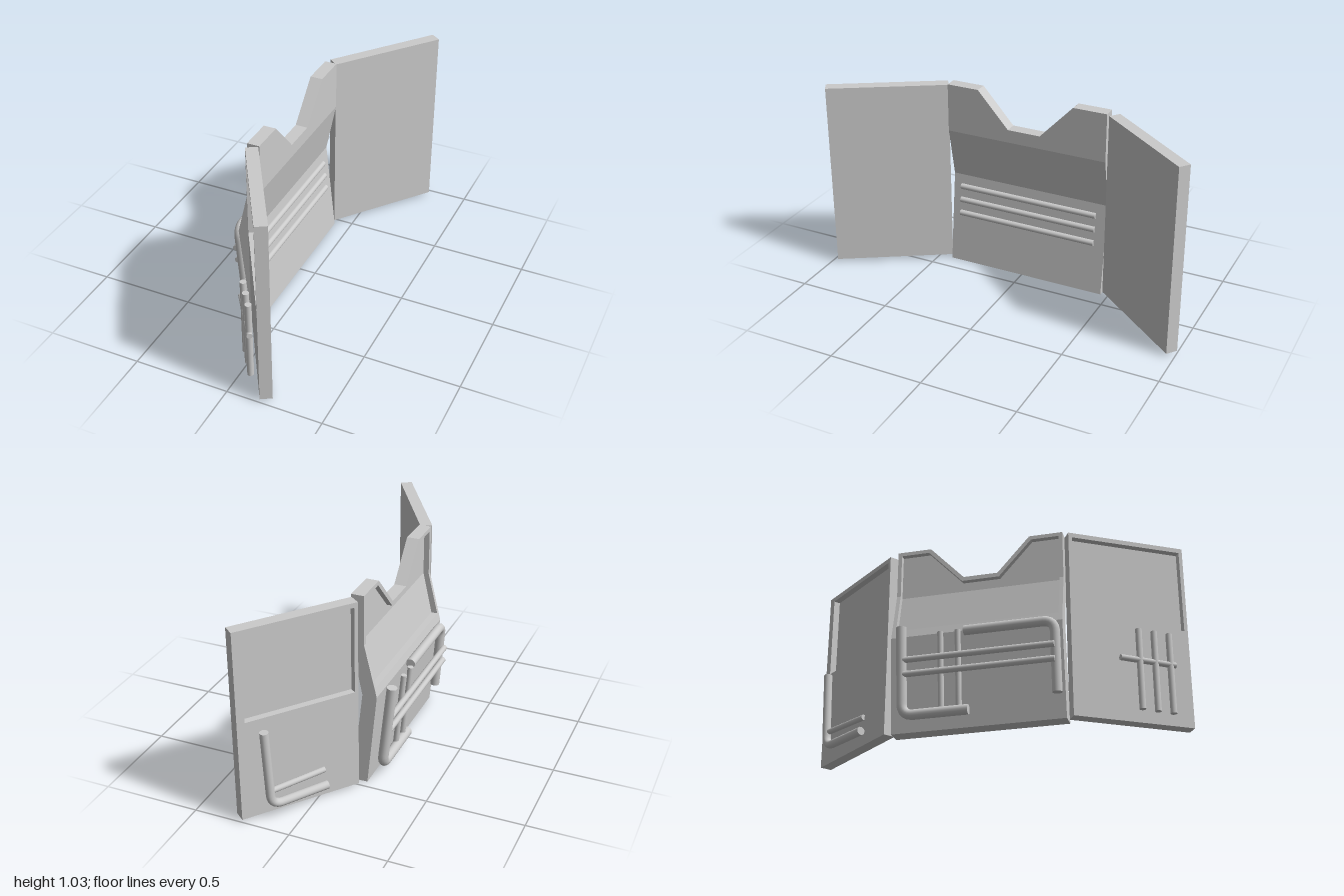
import * as THREE from 'three';

const material = new THREE.MeshStandardMaterial({ color: 0xcccccc });
const V = (x, y, z) => new THREE.Vector3(x, y, z);

function polygon(points) {
  return new THREE.Shape(points.map(([a, b]) => new THREE.Vector2(a, b)));
}

function rect(a0, b0, a1, b1) {
  return [[a0, b0], [a1, b0], [a1, b1], [a0, b1]];
}

function extrude(shape, depth) {
  return new THREE.ExtrudeGeometry(shape, { depth, bevelEnabled: false });
}

function addMesh(parent, geometry, name) {
  const mesh = new THREE.Mesh(geometry, material);
  mesh.name = name;
  parent.add(mesh);
  return mesh;
}

// Capped round pipe through the given corners, with rounded elbows
function addPipe(parent, name, points, radius, bend = 0.06) {
  const group = new THREE.Group();
  group.name = name;
  const path = new THREE.CurvePath();
  let start = points[0];
  for (let i = 1; i < points.length - 1; i++) {
    const p = points[i];
    const a = p.clone().add(points[i - 1].clone().sub(p).setLength(bend));
    const b = p.clone().add(points[i + 1].clone().sub(p).setLength(bend));
    path.add(new THREE.LineCurve3(start, a));
    path.add(new THREE.QuadraticBezierCurve3(a, p, b));
    start = b;
  }
  const last = points[points.length - 1];
  path.add(new THREE.LineCurve3(start, last));
  const steps = points.length > 2 ? 48 : 1;
  addMesh(group, new THREE.TubeGeometry(path, steps, radius, 16), 'pipe');
  [[points[0], points[1]], [last, points[points.length - 2]]].forEach(([end, next]) => {
    const cap = addMesh(group, new THREE.CircleGeometry(radius, 16), 'pipeCap');
    cap.position.copy(end);
    cap.lookAt(end.clone().multiplyScalar(2).sub(next));
  });
  parent.add(group);
}

// Flat wing panel between two outer corners, with a recessed window on its outer face
function addWing(parent, name, from, to, y0, y1, marginA, marginB) {
  const thickness = 0.062, recess = 0.035;
  const dx = to[0] - from[0], dz = to[1] - from[1];
  const length = Math.hypot(dx, dz);
  const group = new THREE.Group();
  group.name = name;
  group.position.set(from[0], 0, from[1]);
  group.rotation.y = Math.atan2(-dz, dx);
  const slab = addMesh(group, extrude(polygon(rect(0, y0, length, y1)), thickness - recess), 'wingSlab');
  slab.position.z = -thickness;
  const shape = polygon(rect(0, y0, length, y1));
  shape.holes.push(polygon(rect(marginA, 0.545, length - marginB, y1 - 0.025)));
  const frame = addMesh(group, extrude(shape, recess), 'wingFrame');
  frame.position.z = -recess;
  parent.add(group);
}

// Outer and inner faces of the folded centre panel: [height, outer x, inner x]
const profile = [[0, -0.17, -0.09], [0.5, -0.22, -0.145], [0.77, -0.155, -0.09], [1.03, -0.155, -0.09]];

function faceX(y, d) {
  let i = 0;
  while (i < profile.length - 2 && y > profile[i + 1][0] + 1e-5) i++;
  const [ya, oa, ia] = profile[i], [yb, ob, ib] = profile[i + 1];
  const t = (y - ya) / (yb - ya);
  return THREE.MathUtils.lerp(oa + (ob - oa) * t, ia + (ib - ia) * t, d);
}

// One band of the centre panel, given as (z, y) points and a depth range from 0 (outer) to 1 (inner)
function addBand(parent, name, points, d0, d1) {
  const geometry = extrude(polygon(points.map(([z, y]) => [-z, y])), d1 - d0);
  geometry.rotateY(Math.PI / 2);
  const p = geometry.attributes.position;
  for (let i = 0; i < p.count; i++) p.setX(i, faceX(p.getY(i), p.getX(i) + d0));
  geometry.computeVertexNormals();
  addMesh(parent, geometry, name);
}

function addCentrePanel(parent) {
  const group = new THREE.Group();
  group.name = 'centrePanel';
  const back = -0.46, front = 0.425, rim = 0.02, recess = 0.45, sill = 0.545;
  const top = [[back, 0.77], [back, 1.03], [-0.28, 1.03], [-0.1, 0.84],
    [0.08, 0.84], [0.25, 1.03], [front, 1.03], [front, 0.77]];
  const inset = [[back + rim, 0.77], [back + rim, 1.01], [-0.29, 1.01], [-0.108, 0.818],
    [0.088, 0.818], [0.26, 1.01], [front - rim, 1.01], [front - rim, 0.77]];
  addBand(group, 'lowerBand', rect(back, 0, front, 0.5), 0, 1);
  addBand(group, 'windowSill', rect(back, 0.5, front, sill), 0, recess);
  addBand(group, 'middleBand', rect(back, 0.5, front, 0.77), recess, 1);
  addBand(group, 'notchedBand', top, recess, 1);
  // Raised rim around the recess
  addBand(group, 'rimBack', rect(back, sill, back + rim, 0.77), 0, recess);
  addBand(group, 'rimFront', rect(front - rim, sill, front, 0.77), 0, recess);
  addBand(group, 'rimTop', [...top, ...inset.reverse()], 0, recess);
  parent.add(group);
}

export function createModel() {
  const model = new THREE.Group();
  model.name = 'foldedScreen';

  addCentrePanel(model);
  addWing(model, 'frontWing', [-0.15, 0.455], [0.175, 0.997], 0.018, 1.025, 0.019, 0.019);
  addWing(model, 'backWing', [0.245, -1.0], [-0.145, -0.507], 0.015, 1.02, 0.04, 0.019);

  // Three rails on the inner side
  for (const y of [0.28, 0.356, 0.432]) {
    addPipe(model, 'innerRail', [V(faceX(y, 1), y, 0.38), V(faceX(y, 1), y, -0.4)], 0.016);
  }

  // Interlocking bent pipes and bars on the outer side
  addPipe(model, 'lowerBentPipe', [V(-0.271, 0.53, -0.39), V(-0.222, 0.073, -0.39), V(-0.222, 0.073, -0.05)], 0.026);
  addPipe(model, 'upperBentPipe', [V(-0.241, 0.49, -0.07), V(-0.241, 0.49, 0.39), V(-0.212, 0.12, 0.39)], 0.025);
  for (const z of [-0.19, -0.1]) {
    addPipe(model, 'outerUpright', [V(-0.254, 0.49, z), V(-0.213, 0.07, z)], 0.015);
  }
  for (const y of [0.28, 0.355]) {
    const x = -0.23 - y * 0.085;
    addPipe(model, 'outerCrossbar', [V(x, y, -0.38), V(x, y, 0.39)], 0.016);
  }

  // Grille on the front wing
  for (const x of [-0.015, 0.034, 0.083]) {
    const z = 0.682 + (x + 0.077) * 1.41;
    addPipe(model, 'grilleBar', [V(x, 0.07, z), V(x, 0.498, z)], 0.0165);
  }
  addPipe(model, 'grilleCrossbar', [V(-0.077, 0.329, 0.682), V(0.097, 0.329, 0.93)], 0.015);

  // Angled pipe and short bar on the back wing
  addPipe(model, 'backWingPipe', [V(0.137, 0.5, -0.943), V(0.125, 0.085, -0.925), V(-0.048, 0.085, -0.667)], 0.022);
  addPipe(model, 'backWingBar', [V(0.128, 0.165, -0.925), V(-0.03, 0.165, -0.662)], 0.015);

  return model;
}
